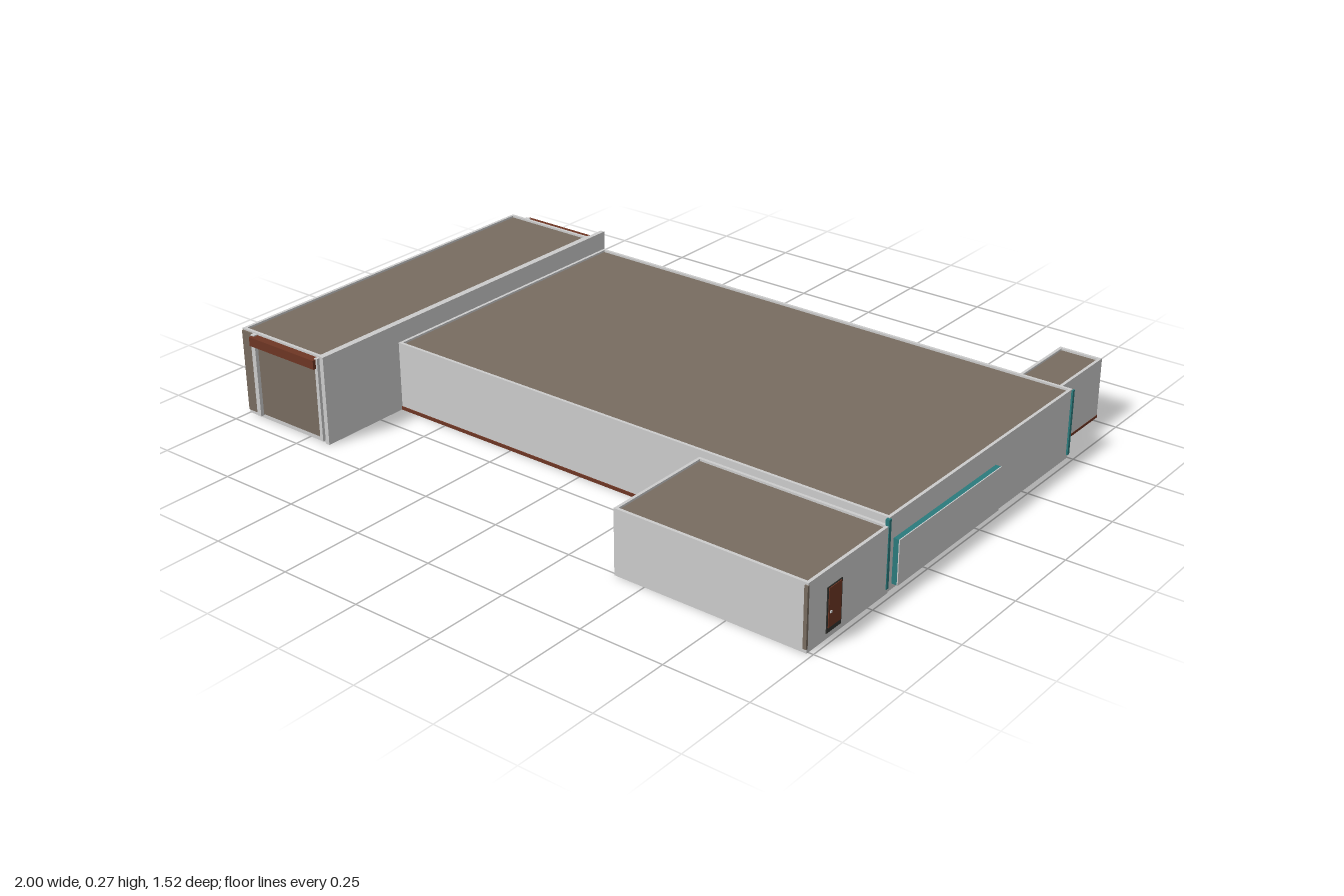
import * as THREE from 'three';

const mat = (name, color) => {
  const m = new THREE.MeshStandardMaterial({ color });
  m.name = name;
  return m;
};

export function createModel() {
  const wall = mat('pale wall', 0xcccccc);
  const brown = mat('roof brown', 0x786c60);
  const teal = mat('teal cladding', 0x2b7a7c);
  const rust = mat('rust red', 0x6e3624);
  const trim = mat('dark trim', 0x33332f);

  const model = new THREE.Group();
  model.name = 'building';

  // Box given by its extents on each axis
  const box = (parent, name, material, [x0, x1], [y0, y1], [z0, z1]) => {
    const mesh = new THREE.Mesh(new THREE.BoxGeometry(x1 - x0, y1 - y0, z1 - z0), material);
    mesh.position.set((x0 + x1) / 2, (y0 + y1) / 2, (z0 + z1) / 2);
    mesh.name = name;
    parent.add(mesh);
    return mesh;
  };

  // Flat-roofed block: walls, sunken roof and a thin parapet around it
  const block = (name, x, z, height, y0 = 0) => {
    const g = new THREE.Group();
    g.name = name;
    model.add(g);
    const t = 0.009, low = height - 0.006;
    box(g, 'walls', wall, x, [y0, low - 0.003], z);
    box(g, 'roof', brown, [x[0] + t, x[1] - t], [low - 0.003, low], [z[0] + t, z[1] - t]);
    for (const [a, b] of [[x[0], x[0] + t], [x[1] - t, x[1]]])
      box(g, 'parapet', wall, [a, b], [low - 0.003, height], z);
    for (const [a, b] of [[z[0], z[0] + t], [z[1] - t, z[1]]])
      box(g, 'parapet', wall, [x[0] + t, x[1] - t], [low - 0.003, height], [a, b]);
    return g;
  };

  const hall = block('mainHall', [-0.67, 0.982], [-0.497, 0.412], 0.21);
  const wing = block('tallWing', [-1, -0.684], [-0.44, 0.695], 0.265);
  const annex = block('frontAnnex', [0.405, 0.985], [0.412, 0.757], 0.19);
  const rear = block('rearAnnex', [0.8, 0.932], [-0.763, -0.497], 0.19, 0.008);

  // Hall: teal back wall, teal corner returns, rust plinth line in front
  box(hall, 'backCladding', teal, [-0.67, 0.984], [0.01, 0.207], [-0.501, -0.497]);
  box(hall, 'backCornerReturn', teal, [0.976, 0.987], [0.012, 0.208], [-0.5, -0.49]);
  box(hall, 'frontCornerReturn', teal, [0.976, 0.987], [0.014, 0.208], [0.411, 0.421]);
  box(hall, 'frontPlinth', rust, [-0.67, 0.405], [0, 0.01], [0.411, 0.415]);

  // Wall panel on the +x side: pale face with teal edges
  box(hall, 'panelCore', teal, [0.982, 0.997], [0.016, 0.144], [-0.096, 0.39]);
  box(hall, 'panelFace', wall, [0.997, 1.0], [0.016, 0.144], [-0.096, 0.39]);

  // Wing: dividing fin along the hall
  box(wing, 'dividingFin', wall, [-0.684, -0.67], [0, 0.267], [-0.5, 0.7]);

  // Wing ends: corner cladding, jambs, opening panel and canopy
  for (const [s, z] of [[1, 0.695], [-1, -0.44]]) {
    const depth = (a, b) => s > 0 ? [z + a, z + b] : [z - b, z - a];
    box(wing, 'cornerCladding', brown, [-0.998, -0.957], [0.012, 0.26], depth(0, 0.005));
    for (const x of [[-0.953, -0.938], [-0.695, -0.684]])
      box(wing, 'jamb', wall, x, [0.01, 0.262], depth(0, 0.014));
    box(wing, 'endPanel', s > 0 ? brown : wall, [-0.938, -0.695], [0.014, 0.232], depth(0, 0.003));
    box(wing, 'canopy', rust, [-0.948, -0.69], [0.232, 0.259], depth(0, 0.024));
  }

  // Annex door on the +x side
  box(annex, 'doorFrame', trim, [0.985, 0.987], [0.016, 0.142], [0.617, 0.679]);
  box(annex, 'door', rust, [0.987, 0.989], [0.03, 0.139], [0.622, 0.674]);
  box(annex, 'doorHandle', wall, [0.989, 0.992], [0.07, 0.076], [0.664, 0.67]);
  box(annex, 'cornerStrip', brown, [0.976, 0.986], [0.012, 0.184], [0.754, 0.761]);

  // Rear annex: rust line along the foot of its walls
  box(rear, 'plinth', rust, [0.799, 0.933], [0.005, 0.013], [-0.764, -0.497]);

  return model;
}
